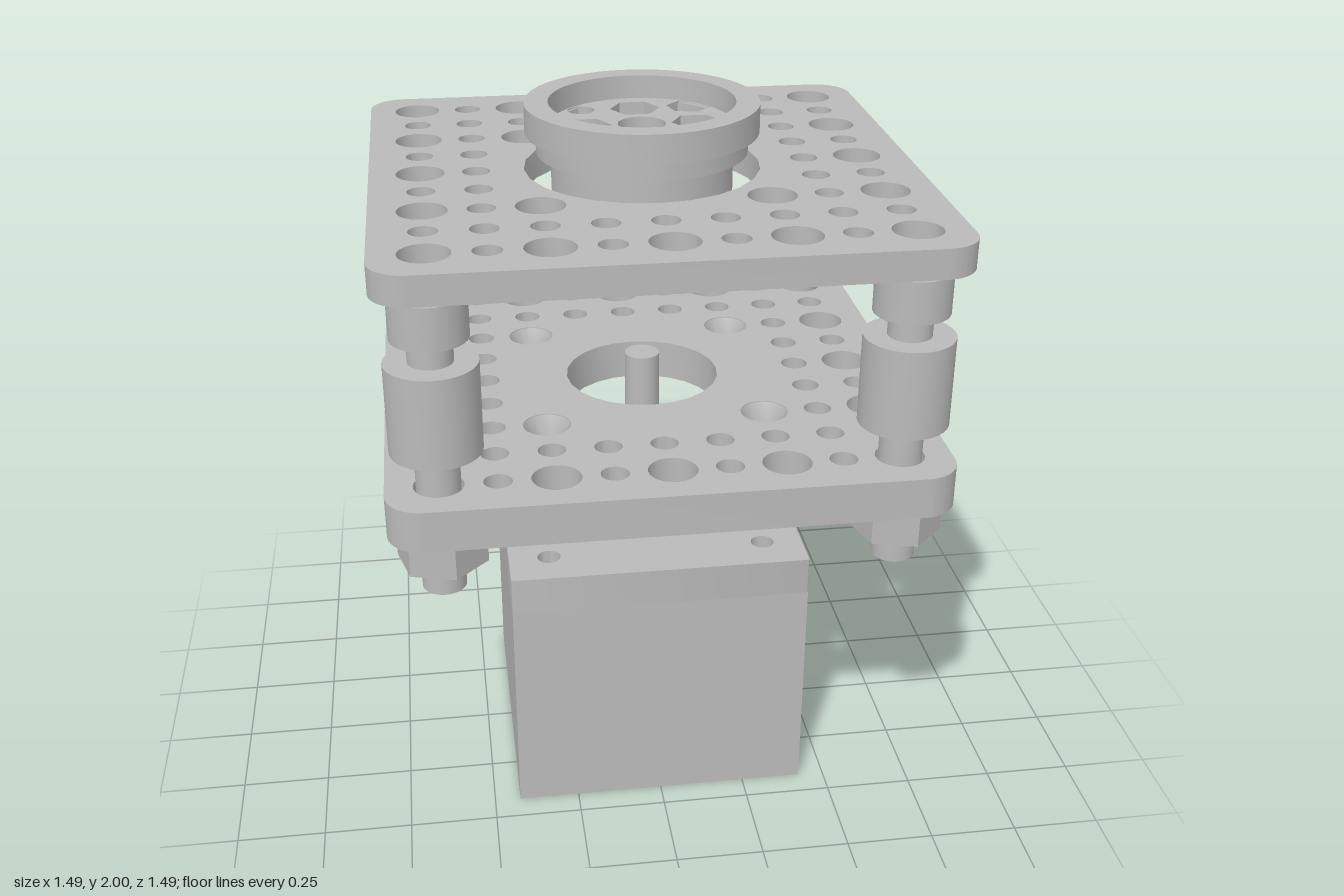
import * as THREE from 'three';
import { toCreasedNormals } from 'three/addons/utils/BufferGeometryUtils.js';

const metal = new THREE.MeshStandardMaterial({ color: 0xbababa });
metal.name = 'grey metal';

const PITCH = 0.1515;

function part(name, geometry, parent, x = 0, y = 0, z = 0) {
  const mesh = new THREE.Mesh(geometry, metal);
  mesh.name = name;
  mesh.position.set(x, y, z);
  parent.add(mesh);
  return mesh;
}

// A turned solid from a closed profile of [radius, height] points, run anticlockwise
function turned(points, segments = 48) {
  const loop = points.concat([points[0]]).map(([r, y]) => new THREE.Vector2(r, y));
  return toCreasedNormals(new THREE.LatheGeometry(loop, segments), 0.6);
}

// A flat outline in x-z, raised from y = 0
function slab(shape, height, curveSegments = 12) {
  const g = new THREE.ExtrudeGeometry(shape, { depth: height, bevelEnabled: false, curveSegments });
  g.rotateX(-Math.PI / 2);
  return toCreasedNormals(g, 0.6);
}

function roundHole(x, z, r) {
  return new THREE.Path().absarc(x, -z, r, 0, Math.PI * 2, true);
}

function hexHole(x, z, r, turn = 0) {
  const pts = [];
  for (let k = 0; k < 6; k++) {
    const a = turn - k * Math.PI / 3;
    pts.push(new THREE.Vector2(x + r * Math.cos(a), -z + r * Math.sin(a)));
  }
  return new THREE.Path(pts);
}

function roundedSquare(half, r) {
  const c = half - r, s = new THREE.Shape();
  s.absarc(c, c, r, 0, Math.PI / 2);
  s.absarc(-c, c, r, Math.PI / 2, Math.PI);
  s.absarc(-c, -c, r, Math.PI, Math.PI * 1.5);
  s.absarc(c, -c, r, Math.PI * 1.5, Math.PI * 2);
  s.closePath();
  return s;
}

function eachCorner(d, fn) {
  for (const sx of [-1, 1]) for (const sz of [-1, 1]) fn(sx * d, sz * d);
}

// Square plate with two rings of holes, four inner holes and a central opening
function perforatedPlate(height, opening) {
  const shape = roundedSquare(0.745, 0.1);
  for (let i = -4; i <= 4; i++) {
    for (let j = -4; j <= 4; j++) {
      const ring = Math.max(Math.abs(i), Math.abs(j));
      const inner = Math.abs(i) === 2 && Math.abs(j) === 2;
      if (ring < 3 && !inner) continue;
      const big = inner || (ring === 4 && i % 2 === 0 && j % 2 === 0);
      shape.holes.push(roundHole(i * PITCH, j * PITCH, big ? 0.066 : 0.038));
    }
  }
  shape.holes.push(roundHole(0, 0, opening));
  return slab(shape, height);
}

function buildMotor(parent) {
  const motor = new THREE.Group();
  motor.name = 'motor';
  parent.add(motor);
  part('motorBody', new THREE.BoxGeometry(0.85, 0.66, 0.85), motor, 0, 0.33, 0);
  const cap = roundedSquare(0.425, 0.004);
  eachCorner(0.31, (x, z) => cap.holes.push(roundHole(x, z, 0.033)));
  part('motorCap', slab(cap, 0.11), motor, 0, 0.66, 0);
  part('motorBoss', new THREE.CylinderGeometry(0.22, 0.22, 0.04, 48), motor, 0, 0.79, 0);
  part('motorShaft', new THREE.CylinderGeometry(0.05, 0.05, 0.455, 32), motor, 0, 1.0275, 0);
}

function buildPillar(parent, x, z) {
  const pillar = new THREE.Group();
  pillar.name = 'cornerPillar';
  pillar.position.set(x, 0, z);
  parent.add(pillar);
  part('boltHead', new THREE.CylinderGeometry(0.1, 0.1, 0.115, 32), pillar, 0, 1.6625, 0);
  part('boltRod', new THREE.CylinderGeometry(0.058, 0.058, 0.725, 32), pillar, 0, 1.2575, 0);
  part('spacer', new THREE.CylinderGeometry(0.12, 0.12, 0.245, 32), pillar, 0, 1.4175, 0);
  const nut = new THREE.CylinderGeometry(0.122, 0.122, 0.105, 6).toNonIndexed();
  nut.computeVertexNormals();
  part('hexNut', nut, pillar, 0, 1.0275, 0).rotation.y = Math.PI / 12;
}

function buildTurntable(parent) {
  const table = new THREE.Group();
  table.name = 'turntable';
  parent.add(table);

  // Stepped rim around a recessed floor
  part('steppedRim', turned([
    [0.245, 1.76], [0.25, 1.76], [0.25, 1.865], [0.29, 1.865], [0.29, 1.92],
    [0.32, 1.92], [0.32, 2], [0.255, 2], [0.255, 1.93], [0.245, 1.93],
  ], 64), table);

  // Floor in two layers: hexagonal pockets above round bolt holes
  const upper = new THREE.Shape().absarc(0, 0, 0.255, 0, Math.PI * 2);
  const lower = new THREE.Shape().absarc(0, 0, 0.249, 0, Math.PI * 2);
  for (let k = 0; k < 4; k++) {
    const a = k * Math.PI / 2;
    const x = PITCH * Math.cos(a), z = PITCH * Math.sin(a);
    upper.holes.push(hexHole(x, z, 0.07));
    lower.holes.push(roundHole(x, z, 0.038));
  }
  for (const s of [-1, 1]) {
    const d = s * PITCH;
    upper.holes.push(hexHole(d, -d, 0.062, Math.PI / 4), roundHole(d, d, 0.038));
    lower.holes.push(roundHole(d, -d, 0.038), roundHole(d, d, 0.038));
  }
  upper.holes.push(roundHole(0, 0, 0.066));
  lower.holes.push(roundHole(0, 0, 0.05));
  part('pocketLayer', slab(upper, 0.06), table, 0, 1.875, 0);
  part('boltHoleLayer', slab(lower, 0.115), table, 0, 1.76, 0);

  // Hollow hub for the shaft
  part('shaftHub', turned([[0.05, 1.54], [0.1, 1.54], [0.1, 1.77], [0.05, 1.77]]), table);
}

export function createModel() {
  const model = new THREE.Group();
  model.name = 'motorTurntable';

  buildMotor(model);

  part('lowerPlate', perforatedPlate(0.115, 0.22), model, 0, 1.075, 0);
  part('upperPlate', perforatedPlate(0.08, 0.325), model, 0, 1.74, 0);

  // Countersunk seats in the lower plate
  const seat = turned([[0.035, 1.075], [0.067, 1.075], [0.067, 1.19], [0.035, 1.12]], 24);
  eachCorner(2 * PITCH, (x, z) => part('countersink', seat, model, x, 0, z));

  eachCorner(4 * PITCH, (x, z) => buildPillar(model, x, z));

  buildTurntable(model);
  return model;
}
